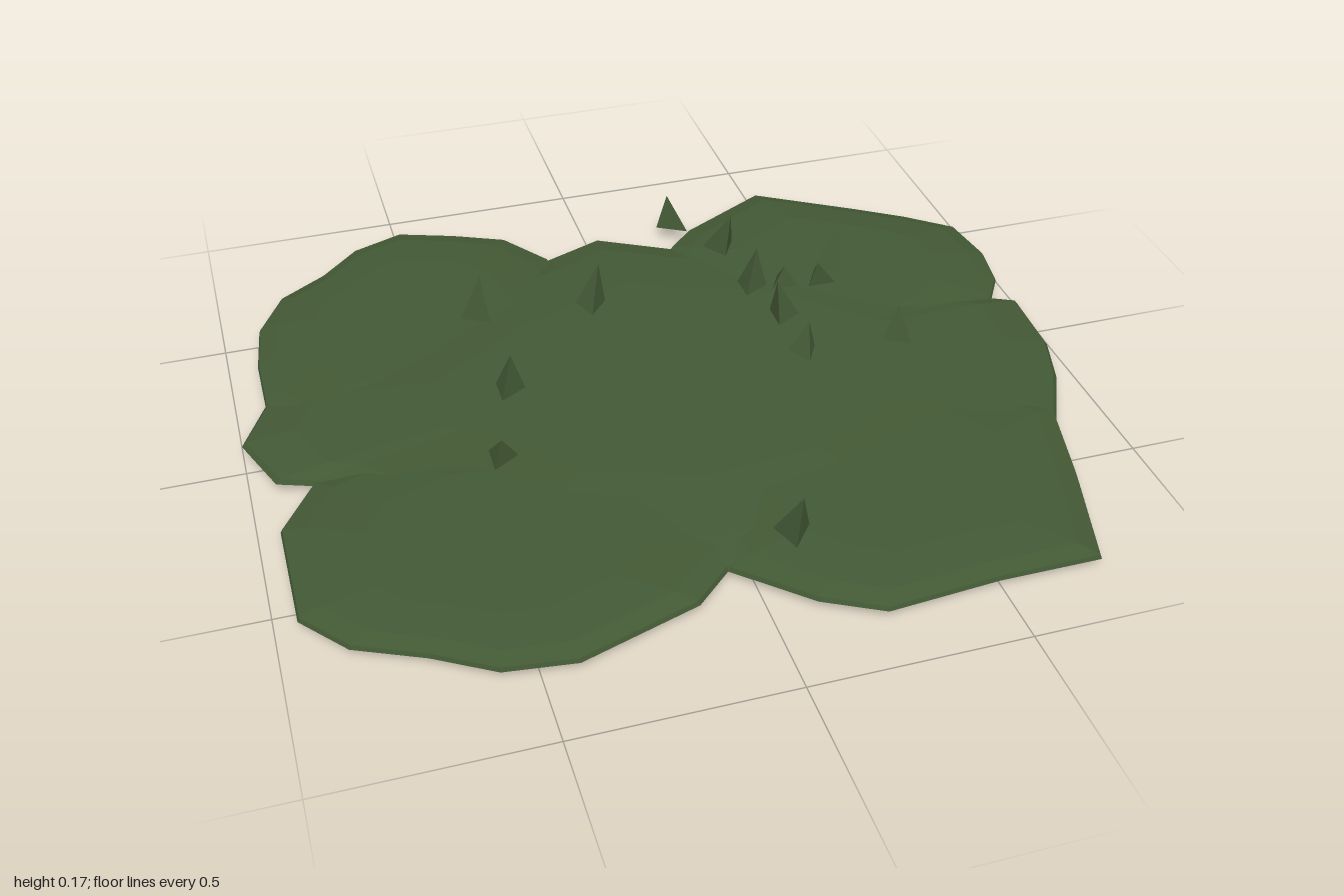
import * as THREE from 'three';

const moss = new THREE.MeshStandardMaterial({ color: 0x435935, flatShading: true });
moss.name = 'moss green';

// Flat lens: the outline is scaled about its middle at several heights, bottom to top
function makeLobe(name, outline, edgeY, topY, bottomY) {
  const n = outline.length;
  const cx = outline.reduce((s, p) => s + p[0], 0) / n;
  const cz = outline.reduce((s, p) => s + p[1], 0) / n;
  const mix = THREE.MathUtils.lerp;
  const rings = [
    [0, bottomY], [0.7, mix(bottomY, edgeY, 0.15)], [0.93, mix(bottomY, edgeY, 0.55)],
    [1, edgeY], [0.99, mix(edgeY, topY, 0.3)], [0.88, mix(edgeY, topY, 0.65)],
    [0.6, mix(edgeY, topY, 0.92)], [0, topY],
  ];
  const pos = [], index = [];
  for (const [s, y] of rings)
    for (const [x, z] of outline) pos.push(cx + (x - cx) * s, y, cz + (z - cz) * s);
  for (let r = 0; r < rings.length - 1; r++) {
    for (let i = 0; i < n; i++) {
      const j = (i + 1) % n, a = r * n + i, b = r * n + j, c = b + n, d = a + n;
      if (r > 0) index.push(a, b, c);
      if (r === 0) index.push(a, c, d);
      else if (r < rings.length - 2) index.push(a, c, d);
    }
  }
  const geo = new THREE.BufferGeometry();
  geo.setAttribute('position', new THREE.Float32BufferAttribute(pos, 3));
  geo.setIndex(index);
  geo.computeVertexNormals();
  const mesh = new THREE.Mesh(geo, moss);
  mesh.name = name;
  return mesh;
}

// Three-sided blade whose tip leans by (dx, dz); angle points one base corner
function makeSpike([x, z, tipY, angle, dx = 0, dz = 0]) {
  const baseY = 0.045, h = tipY - baseY;
  const geo = new THREE.ConeGeometry(0.05, h, 3, 1);
  geo.rotateY(THREE.MathUtils.degToRad(90 - angle));
  geo.translate(0, h / 2, 0);
  const p = geo.attributes.position;
  for (let i = 0; i < p.count; i++) {
    const t = p.getY(i) / h;
    p.setX(i, p.getX(i) + dx * t);
    p.setZ(i, p.getZ(i) + dz * t);
  }
  geo.computeVertexNormals();
  const mesh = new THREE.Mesh(geo, moss);
  mesh.position.set(x, baseY, z);
  mesh.name = 'grassSpike';
  return mesh;
}

export function createModel() {
  const model = new THREE.Group();
  model.name = 'grassPatch';

  // Ground lobes, outlines as [x, z]
  const ground = new THREE.Group();
  ground.name = 'ground';
  ground.add(
    makeLobe('centreLobe', [
      [0.2, -0.6], [0.02, -0.7], [-0.13, -0.64], [-0.5, -0.5], [-0.93, -0.21], [-1, -0.07],
      [-0.94, 0.09], [-0.86, 0.12], [-0.5, 0.5], [-0.05, 0.66], [0.4, 0.62], [0.84, 0.42],
      [0.94, 0.22], [0.98, 0.09], [0.99, -0.1], [0.93, -0.13], [0.6, -0.45],
    ], 0.025, 0.065, 0),
    makeLobe('backLeftLobe', [
      [-0.13, -0.64], [-0.22, -0.77], [-0.35, -0.83], [-0.49, -0.88], [-0.62, -0.83],
      [-0.72, -0.73], [-0.84, -0.65], [-0.91, -0.52], [-0.93, -0.37], [-0.93, -0.21],
      [-0.85, -0.02], [-0.5, 0.05], [-0.2, -0.1], [-0.08, -0.4],
    ], 0.03, 0.058, 0.006),
    makeLobe('frontLeftLobe', [
      [-0.6, 0.02], [-0.86, 0.12], [-0.95, 0.26], [-0.95, 0.55], [-0.86, 0.66], [-0.71, 0.73],
      [-0.58, 0.81], [-0.42, 0.83], [-0.14, 0.74], [0, 0.61], [0.05, 0.35], [-0.2, 0.08],
    ], 0.025, 0.06, 0.004),
    makeLobe('frontRightLobe', [
      [0.15, 0.2], [-0.1, 0.42], [-0.05, 0.66], [0.1, 0.8], [0.23, 0.87], [0.49, 0.85],
      [0.73, 0.85], [0.81, 0.58], [0.87, 0.34], [0.75, 0.15], [0.45, 0.1],
    ], 0.025, 0.06, 0.005),
    makeLobe('backRightLobe', [
      [0.51, -0.8], [0.27, -0.67], [0.2, -0.6], [0.08, -0.35], [0.2, -0.08], [0.5, 0.05],
      [0.8, -0.02], [0.93, -0.13], [0.98, -0.21], [1, -0.33], [0.98, -0.48], [0.87, -0.57],
      [0.75, -0.65],
    ], 0.03, 0.06, 0.004),
  );
  model.add(ground);

  // Spikes as [x, z, tip height, corner angle, lean x, lean z]
  const spikes = new THREE.Group();
  spikes.name = 'grassSpikes';
  [
    [-0.37, -0.4, 0.175, 180, 0.01, 0], [-0.09, -0.35, 0.175, -20, 0.03, -0.02],
    [-0.37, -0.06, 0.17, 0, 0.01, 0.01], [-0.44, 0.18, 0.13, 0, 0, 0.03],
    [0.11, 0.61, 0.172, -20, 0.01, 0.03], [0.24, -0.7, 0.14, 180, -0.02, 0],
    [0.32, -0.54, 0.165, -30, 0.02, 0.03], [0.33, -0.32, 0.17, 0, 0.02, -0.01],
    [0.42, -0.32, 0.115, -90, 0, 0.01], [0.52, -0.31, 0.13, -90, -0.02, 0.03],
    [0.56, -0.36, 0.17, 180, 0.03, -0.01], [0.37, -0.17, 0.17, 0, -0.02, 0],
    [0.36, 0, 0.14, 90, 0.02, -0.02], [0.61, 0, 0.155, 180, 0, -0.01],
  ].forEach((s) => spikes.add(makeSpike(s)));
  model.add(spikes);

  return model;
}
